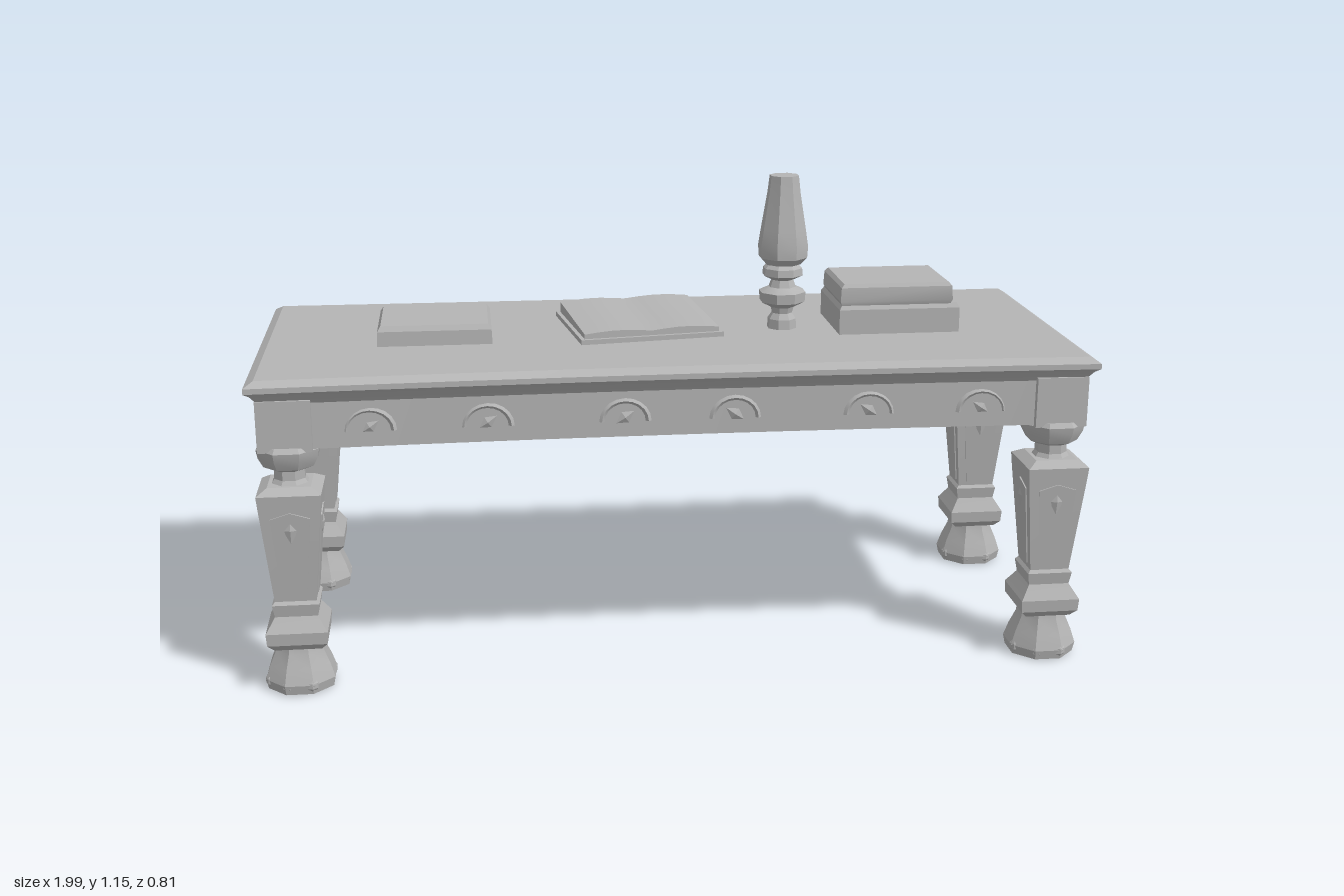
import * as THREE from 'three';
import { toCreasedNormals } from 'three/addons/utils/BufferGeometryUtils.js';

const stone = new THREE.MeshStandardMaterial({ color: 0xb4b4b4 });
stone.name = 'plain grey';

function add(parent, name, geometry, x = 0, y = 0, z = 0) {
  const mesh = new THREE.Mesh(toCreasedNormals(geometry, 0.45), stone);
  mesh.name = name;
  mesh.position.set(x, y, z);
  parent.add(mesh);
  return mesh;
}

// Box whose rows follow [y, half width, half depth]; bow pulls the long sides inward at mid length
function profileBox(rows, segX = 1, bowFront = 0, bowBack = 0) {
  const n = rows.length - 1;
  const g = new THREE.BoxGeometry(2, 2, 2, segX, n, 1);
  const p = g.attributes.position;
  for (let i = 0; i < p.count; i++) {
    const [y, hx, hz] = rows[Math.round((p.getY(i) + 1) / 2 * n)];
    const x = p.getX(i), z = p.getZ(i);
    const bow = (z > 0 ? bowFront : bowBack) * (1 - x * x);
    p.setXYZ(i, x * hx, y, z * (hz - bow));
  }
  return g;
}

const square = rows => profileBox(rows.map(([y, r]) => [y, r, r]));

// Turned piece from [radius, y] points
function turned(points, sides = 8) {
  const g = new THREE.LatheGeometry(points.map(([r, y]) => new THREE.Vector2(r, y)), sides);
  g.rotateY(Math.PI / sides);
  return g;
}

function makeLeg(x, z) {
  const leg = new THREE.Group();
  leg.name = 'leg';
  leg.position.set(x, 0, z);
  add(leg, 'foot', turned([[0, 0.01], [0.083, 0.012], [0.088, 0.035], [0.076, 0.07],
    [0.06, 0.105], [0.057, 0.125], [0, 0.125]]));
  // Claw toes round the foot
  for (let i = 0; i < 8; i++) {
    const a = i * Math.PI / 4 + Math.PI / 8;
    const r = i % 2 ? 0.068 : 0.07;
    const toe = add(leg, 'toe', new THREE.SphereGeometry(0.019, 7, 5), Math.sin(a) * r, 0.032, Math.cos(a) * r);
    toe.scale.y = 1.1;
  }
  add(leg, 'ankleCollar', square([[0.118, 0.055], [0.135, 0.07], [0.165, 0.072], [0.19, 0.056],
    [0.2, 0.05], [0.23, 0.055], [0.238, 0.048]]));
  add(leg, 'shaft', square([[0.235, 0.048], [0.47, 0.071], [0.505, 0.074], [0.52, 0.05]]));
  // Raised tapered panels and a leaf boss on each face of the shaft
  for (let i = 0; i < 4; i++) {
    const side = new THREE.Group();
    side.name = 'shaftFace';
    side.rotation.y = i * Math.PI / 2;
    leg.add(side);
    const s = new THREE.Shape([[-0.028, 0], [0.028, 0], [0.046, 0.2], [0, 0.215], [-0.046, 0.2]]
      .map(([px, py]) => new THREE.Vector2(px, py)));
    const panel = add(side, 'shaftPanel', new THREE.ExtrudeGeometry(s, { depth: 0.003, bevelEnabled: false }), 0, 0.25, 0.0495);
    panel.rotation.x = Math.atan(0.023 / 0.235);
    const leaf = add(side, 'leafBoss', new THREE.OctahedronGeometry(0.025), 0, 0.42, 0.068);
    leaf.scale.set(0.7, 1.3, 0.25);
  }
  add(leg, 'neck', turned([[0, 0.51], [0.05, 0.512], [0.038, 0.53], [0.038, 0.552],
    [0.062, 0.562], [0.074, 0.585], [0.078, 0.605], [0.07, 0.615], [0, 0.615]]));
  return leg;
}

// Garland arc hanging on an apron panel
function garland(parent, x, r) {
  const arc = add(parent, 'garland', new THREE.TorusGeometry(r, 0.007, 4, 10, Math.PI), x, 0.645, 0);
  arc.scale.set(1, 0.05 / r, 0.8);
  const leaf = add(parent, 'garlandLeaf', new THREE.OctahedronGeometry(0.022), x, 0.655, 0);
  leaf.scale.set(1.2, 0.7, 0.3);
  leaf.rotation.z = x < 0 ? 0.6 : -0.6;
}

export function createModel() {
  const model = new THREE.Group();
  model.name = 'deskWithBooks';

  // Table top, with a moulded edge and slightly bowed long sides
  add(model, 'tableTop', profileBox([[0.715, 0.965, 0.37], [0.742, 0.985, 0.39], [0.75, 0.997, 0.4],
    [0.763, 0.997, 0.4], [0.776, 0.975, 0.378]], 16, 0.022, 0.008));

  // Apron, closed underneath
  add(model, 'apron', profileBox([[0.608, 0.96, 0.372], [0.725, 0.96, 0.372]], 16, 0.022, 0.008));
  for (const s of [1, -1]) {
    const long = new THREE.Group();
    long.name = 'longApronCarving';
    long.rotation.y = s > 0 ? 0 : Math.PI;
    model.add(long);
    for (const x of [-0.72, -0.45, -0.13, 0.13, 0.45, 0.72]) {
      const holder = new THREE.Group();
      holder.name = 'carving';
      holder.position.z = 0.372 - (s > 0 ? 0.022 : 0.008) * (1 - x * x);
      long.add(holder);
      garland(holder, x, 0.055);
    }
    const short = new THREE.Group();
    short.name = 'shortApronCarving';
    short.rotation.y = s * Math.PI / 2;
    short.position.x = s * 0.96;
    model.add(short);
    for (const x of [-0.2, 0, 0.2]) garland(short, x, 0.05);

    for (const t of [1, -1]) {
      add(model, 'cornerBlock', new THREE.BoxGeometry(0.125, 0.122, 0.125), s * 0.913, 0.666, t * 0.32);
      model.add(makeLeg(s * 0.91, t * 0.325));
    }
  }

  // Single book
  add(model, 'leftBook', profileBox([[0.77, 0.14, 0.118], [0.812, 0.138, 0.116], [0.825, 0.13, 0.108]]), -0.57, 0, -0.022);

  // Open book: two sagging pages, thicker toward the back
  const pages = new THREE.BoxGeometry(0.34, 0.03, 0.3, 10, 1, 4);
  const p = pages.attributes.position;
  for (let i = 0; i < p.count; i++) {
    if (p.getY(i) < 0) continue;
    const u = Math.abs(p.getX(i)) / 0.17;
    p.setY(i, 0.022 + 0.006 * Math.sin(u * Math.PI) - 0.05 * p.getZ(i));
  }
  const open = add(model, 'openBook', pages, -0.06, 0.785, -0.05);
  open.rotation.y = 0.14;
  const cover = add(model, 'openBookCover', new THREE.BoxGeometry(0.36, 0.014, 0.32), -0.06, 0.781, -0.05);
  cover.rotation.y = 0.14;

  // Two stacked books
  add(model, 'lowerBook', profileBox([[0.77, 0.152, 0.119], [0.838, 0.152, 0.119], [0.85, 0.145, 0.112]]), 0.58, 0, -0.019);
  add(model, 'upperBook', profileBox([[0.845, 0.136, 0.105], [0.858, 0.142, 0.11], [0.893, 0.14, 0.108], [0.902, 0.132, 0.102]]), 0.572, 0, -0.012);

  // Lamp
  add(model, 'lampBase', turned([[0, 0.77], [0.038, 0.772], [0.036, 0.8], [0.026, 0.815], [0.03, 0.83],
    [0.058, 0.845], [0.06, 0.87], [0.035, 0.882], [0.028, 0.9], [0.052, 0.912], [0.05, 0.93],
    [0.034, 0.945], [0, 0.945]]), 0.3, 0, 0);
  add(model, 'lampChimney', turned([[0, 0.938], [0.046, 0.94], [0.062, 0.957], [0.064, 0.985],
    [0.057, 1.03], [0.042, 1.12], [0.037, 1.162], [0, 1.162]]), 0.3, 0, 0);

  return model;
}
